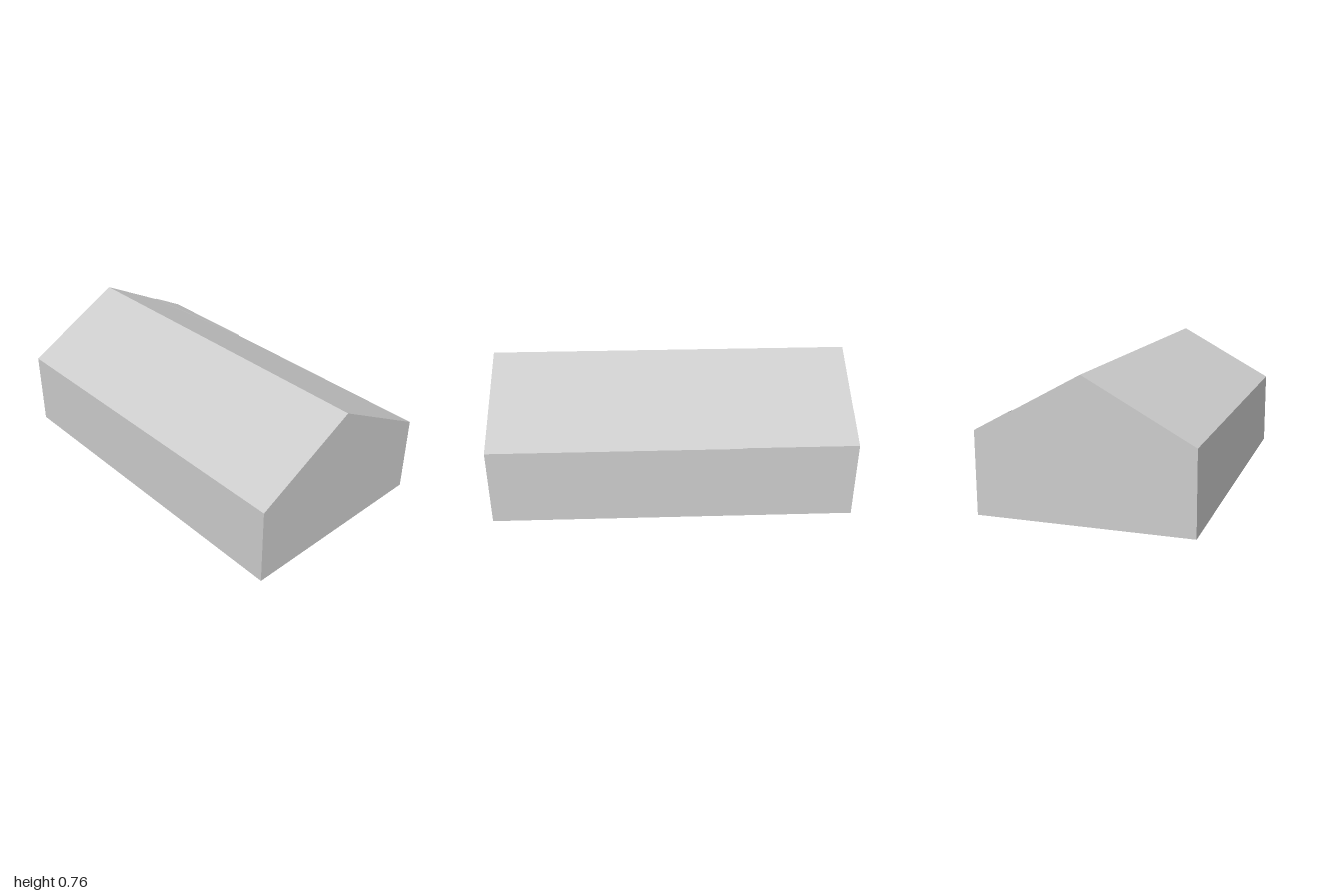
import * as THREE from 'three';

const HALF_WIDTH = 0.575, EAVE = 0.443, RIDGE = 0.757, LENGTH = 2;
const roofHeight = (x) => RIDGE - (RIDGE - EAVE) * Math.abs(x) / HALF_WIDTH;

function makeShape(points) {
  return new THREE.Shape(points.map(([x, y]) => new THREE.Vector2(x, y)));
}

export function createModel() {
  const group = new THREE.Group();
  group.name = 'gabledBuilding';
  const material = new THREE.MeshStandardMaterial({ color: 0xcccccc, flatShading: true });

  // Walls, floor and both roof slopes: one closed gabled block
  const gable = makeShape([
    [-HALF_WIDTH, 0], [HALF_WIDTH, 0], [HALF_WIDTH, EAVE], [0, RIDGE], [-HALF_WIDTH, EAVE],
  ]);
  const bodyGeometry = new THREE.ExtrudeGeometry(gable, { depth: LENGTH, bevelEnabled: false });
  bodyGeometry.translate(0, 0, -LENGTH / 2);
  const body = new THREE.Mesh(bodyGeometry, material);
  body.name = 'gabledBody';
  group.add(body);

  // Slightly raised triangle at the back left corner of the roof, laid along the slope
  const corner = makeShape([[0.38, 1], [HALF_WIDTH, 0.37], [HALF_WIDTH, 1]]);
  const patchGeometry = new THREE.ExtrudeGeometry(corner, { depth: 0.004, bevelEnabled: false });
  patchGeometry.rotateX(-Math.PI / 2);
  const position = patchGeometry.attributes.position;
  for (let i = 0; i < position.count; i++) {
    position.setY(i, position.getY(i) + roofHeight(position.getX(i)));
  }
  patchGeometry.computeVertexNormals();
  const patch = new THREE.Mesh(patchGeometry, material);
  patch.name = 'roofCornerPatch';
  group.add(patch);

  return group;
}
